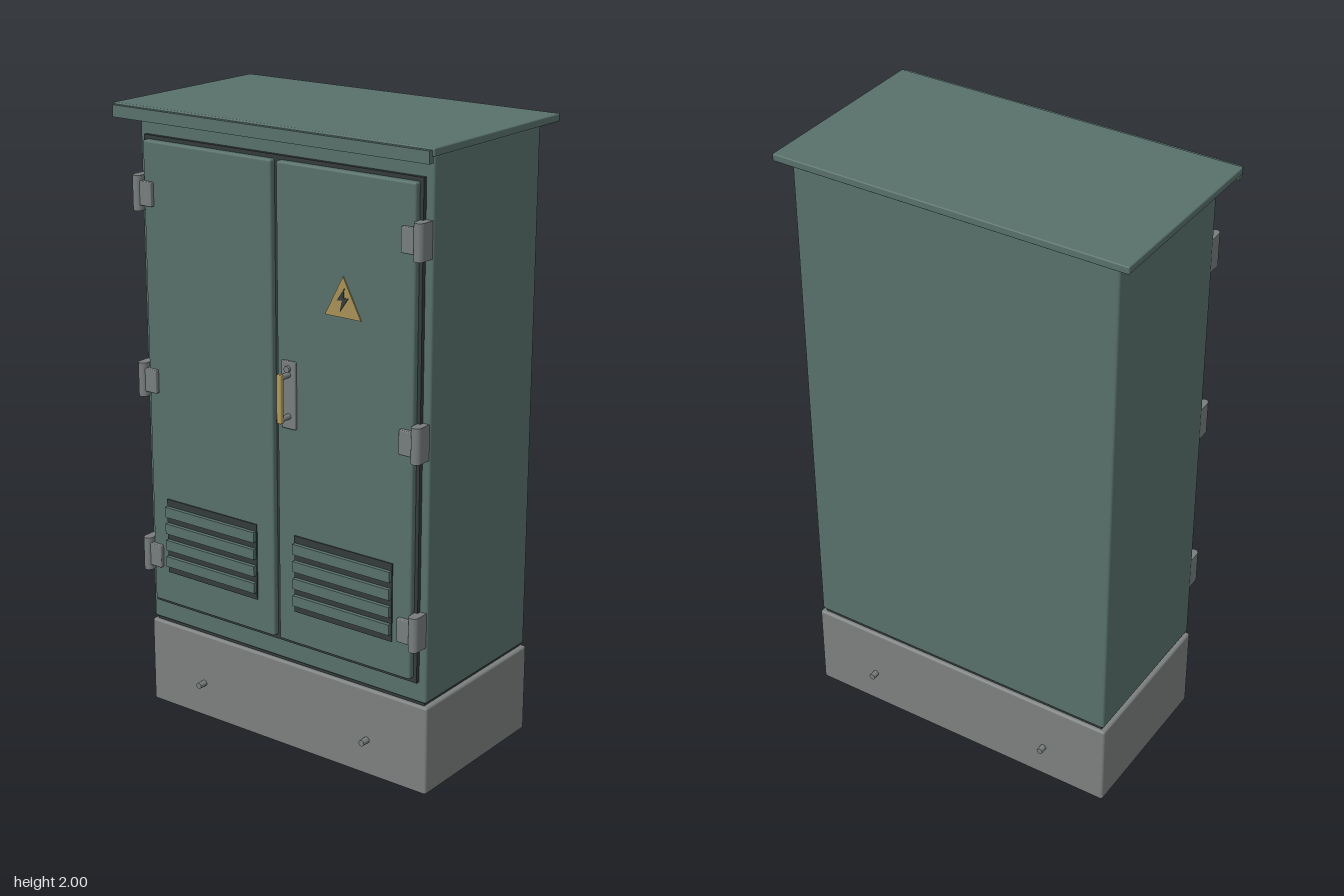
import * as THREE from 'three';
import { RoundedBoxGeometry } from 'three/addons/geometries/RoundedBoxGeometry.js';

const paint = (name, color) => Object.assign(new THREE.MeshStandardMaterial({ color }), { name });

export function createModel() {
  const green = paint('cabinet green', 0x58706a);
  const grey = paint('plinth grey', 0x7b7f7e);
  const steel = paint('hardware grey', 0x777c7c);
  const dark = paint('dark seal', 0x323b39);
  const yellow = paint('warning yellow', 0xa89055);
  const gold = paint('handle brass', 0xae9858);

  const model = new THREE.Group();
  model.name = 'electrical cabinet';

  const add = (name, geometry, material, parent = model) => {
    const mesh = new THREE.Mesh(geometry, material);
    mesh.name = name;
    parent.add(mesh);
    return mesh;
  };
  // Box given by its limits on each axis; r rounds the edges
  const box = (name, material, [x0, x1], [y0, y1], [z0, z1], r = 0, parent = model) => {
    const size = [x1 - x0, y1 - y0, z1 - z0];
    const g = r ? new RoundedBoxGeometry(...size, 2, r) : new THREE.BoxGeometry(...size);
    g.translate((x0 + x1) / 2, (y0 + y1) / 2, (z0 + z1) / 2);
    return add(name, g, material, parent);
  };
  // Rod along z
  const rod = (name, material, x, y, z0, z1, radius, parent = model) => {
    const g = new THREE.CylinderGeometry(radius, radius, z1 - z0, 16);
    g.rotateX(Math.PI / 2).translate(x, y, (z0 + z1) / 2);
    return add(name, g, material, parent);
  };
  // Thin flat plate cut from an outline, lying on z
  const plate = (name, material, points, z, depth, parent = model) => {
    const shape = new THREE.Shape(points.map(([x, y]) => new THREE.Vector2(x, y)));
    const g = new THREE.ExtrudeGeometry(shape, { depth, bevelEnabled: false });
    return add(name, g.translate(0, 0, z), material, parent);
  };

  // Plinth, body and the recessed joints between them
  box('plinth', grey, [-0.547, 0.547], [0, 0.292], [-0.31, 0.25], 0.008);
  box('plinthJoint', dark, [-0.53, 0.53], [0.28, 0.315], [-0.297, 0.237]);
  box('body', green, [-0.54, 0.54], [0.302, 1.966], [-0.305, 0.245], 0.008);
  box('roofJoint', green, [-0.53, 0.53], [1.955, 1.98], [-0.297, 0.237]);

  // Roof sheet with a drip lip along the front
  box('roof', green, [-0.585, 0.585], [1.976, 2], [-0.337, 0.312], 0.004);
  box('roofLip', green, [-0.578, 0.578], [1.957, 1.994], [0.306, 0.325]);

  // Plinth bolts, front and back
  for (const x of [-0.327, 0.327]) {
    rod('frontBolt', steel, x, 0.12, 0.24, 0.279, 0.01);
    rod('backBolt', steel, x, 0.12, -0.334, -0.3, 0.01);
  }

  // Door seal, seen around and between the doors
  box('doorSeal', dark, [-0.515, 0.515], [0.37, 1.902], [0.24, 0.258]);

  for (const s of [-1, 1]) {
    const side = new THREE.Group();
    side.name = s > 0 ? 'leftDoor' : 'rightDoor';
    model.add(side);
    const span = (a, b) => (s > 0 ? [a, b] : [-b, -a]);

    box('doorPanel', green, span(0.01, 0.503), [0.385, 1.89], [0.25, 0.279], 0.007, side);

    // Louvred vent: dark opening with four slats
    box('ventOpening', dark, span(0.074, 0.439), [0.494, 0.745], [0.27, 0.283], 0, side);
    for (let i = 0; i < 4; i++) {
      const y = 0.705 - i * 0.0565;
      box('ventSlat', green, span(0.076, 0.437), [y - 0.017, y + 0.017], [0.28, 0.296], 0, side);
    }

    // Three hinges: leaf, block and pin barrel
    for (const y of [1.727, 1.132, 0.543]) {
      const hinge = new THREE.Group();
      hinge.name = 'hinge';
      side.add(hinge);
      box('hingeLeaf', steel, span(0.463, 0.51), [y - 0.038, y + 0.038], [0.27, 0.293], 0.003, hinge);
      box('hingeBlock', steel, span(0.505, 0.537), [y - 0.055, y + 0.055], [0.238, 0.285], 0, hinge);
      const pin = new THREE.CylinderGeometry(0.016, 0.016, 0.11, 20);
      add('hingeBarrel', pin.translate(s * 0.521, y, 0.285), steel, hinge);
    }
  }

  // Handle: backing plate, lock, two posts and a grip
  const handle = new THREE.Group();
  handle.name = 'handle';
  model.add(handle);
  box('handlePlate', steel, [0.033, 0.084], [1.086, 1.297], [0.275, 0.288], 0.003, handle);
  rod('lock', steel, 0.059, 1.274, 0.28, 0.297, 0.01, handle);
  for (const y of [1.256, 1.126]) rod('handlePost', steel, 0.06, y, 0.28, 0.326, 0.009, handle);
  box('handleGrip', gold, [0.052, 0.069], [1.115, 1.267], [0.322, 0.337], 0.003, handle);

  // Warning triangle with a lightning mark
  const sign = new THREE.Group();
  sign.name = 'warningSign';
  model.add(sign);
  plate('signTriangle', yellow, [[0.192, 1.464], [0.321, 1.464], [0.2565, 1.586]], 0.278, 0.005, sign);
  plate('signLightning', dark, [
    [0.262, 1.552], [0.236, 1.513], [0.254, 1.515], [0.247, 1.481], [0.278, 1.525], [0.26, 1.523],
  ], 0.282, 0.003, sign);

  return model;
}
